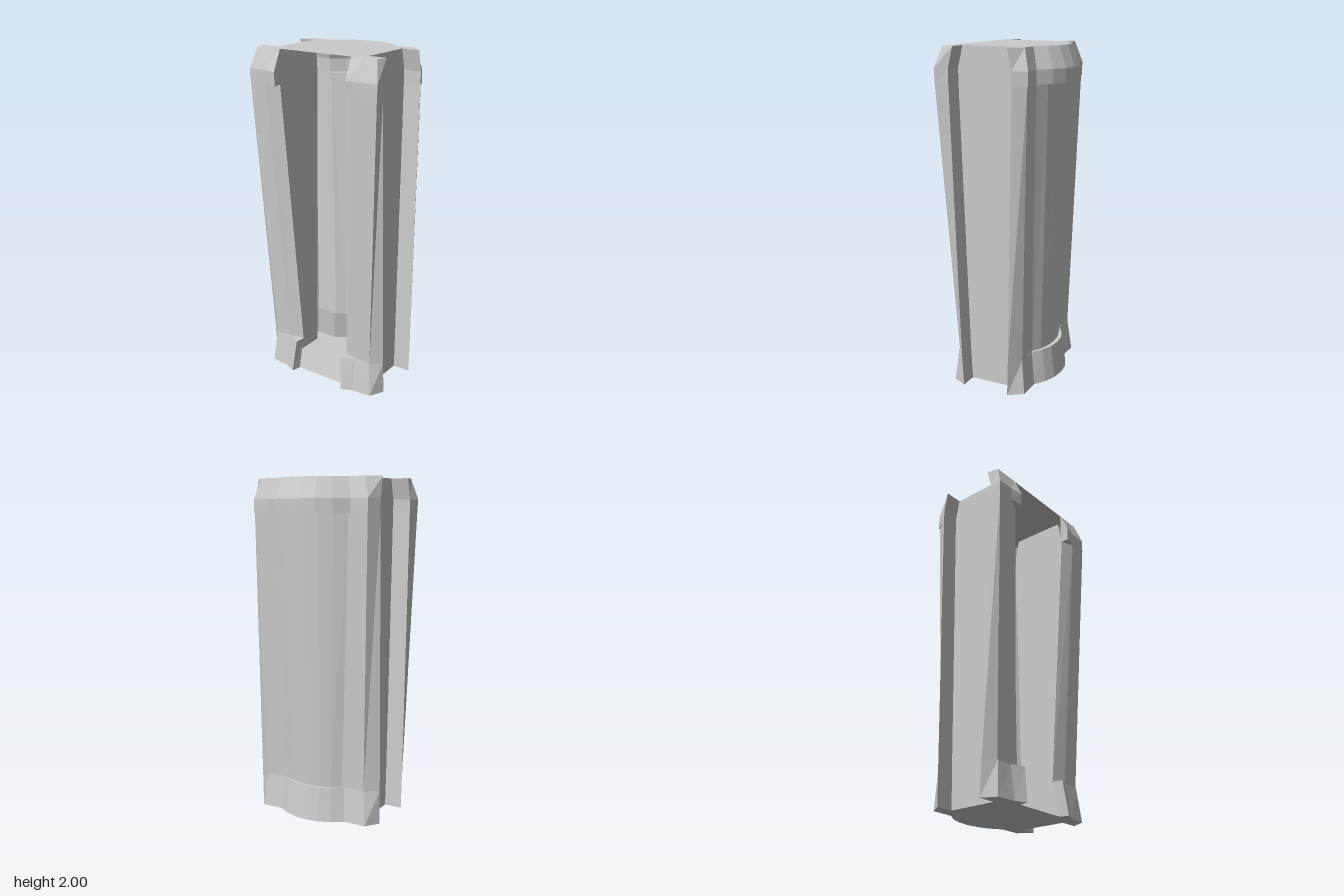
import * as THREE from 'three';

const material = new THREE.MeshStandardMaterial({ color: 0xcccccc, flatShading: true, side: THREE.DoubleSide });

// Half outline [x, z] from the front lip round the side to the centre of the back,
// mirrored into a full outline that stays open at the front.
function outline({ y, front, side, corner, arc }) {
  const [sideFront, sideBack] = side;
  const [w, z0, z1] = arc;
  const half = [
    ...front,
    [0.413, sideFront], [0.305, sideFront],   // front rib to recessed side
    [0.305, sideBack], [0.413, sideBack],     // recessed side to back rib
    corner, [w, z0],
    [w * 0.7, z0 + (z1 - z0) * 0.545],        // rounded back
    [w * 0.37, z0 + (z1 - z0) * 0.89],
    [0, z1],
  ];
  const mirrored = half.slice(0, -1).reverse().map(([x, z]) => [-x, z]);
  return [...half, ...mirrored].map(([x, z]) => new THREE.Vector3(x, y, z));
}

// Skin between successive outlines, top to bottom
function loft(name, levels) {
  const rings = levels.map(outline);
  const points = [];
  for (let r = 0; r < rings.length - 1; r++) {
    const a = rings[r], b = rings[r + 1];
    for (let i = 0; i < a.length - 1; i++) {
      points.push(a[i], a[i + 1], b[i], a[i + 1], b[i + 1], b[i]);
    }
  }
  const geometry = new THREE.BufferGeometry().setFromPoints(points);
  geometry.computeVertexNormals();
  const mesh = new THREE.Mesh(geometry, material);
  mesh.name = name;
  return mesh;
}

// Flat plate filling one outline
function cap(name, level, up) {
  const shape = new THREE.Shape(outline(level).map((p) => new THREE.Vector2(p.x, up ? -p.z : p.z)));
  const geometry = new THREE.ShapeGeometry(shape);
  geometry.rotateX(up ? -Math.PI / 2 : Math.PI / 2);
  geometry.translate(0, level.y, 0);
  const mesh = new THREE.Mesh(geometry, material);
  mesh.name = name;
  return mesh;
}

export function createModel() {
  // front: lip, inner edge, bend, outer edge; arc: half width, start z, peak z
  const top = {
    y: 2, front: [[0.238, 0.28], [0.24, 0.282], [0.32, 0.28], [0.4, 0.28]],
    side: [0.21, -0.12], corner: [0.34, -0.19], arc: [0.235, -0.19, -0.287],
  };
  const collar = {
    y: 1.88, front: [[0.245, 0.28], [0.24, 0.335], [0.32, 0.32], [0.43, 0.32]],
    side: [0.24, -0.145], corner: [0.375, -0.225], arc: [0.27, -0.225, -0.335],
  };
  const collarEnd = { ...collar, y: 1.8, front: [[0.245, 0.28], [0.24, 0.332], [0.32, 0.319], [0.426, 0.319]] };
  const shaftTop = {
    ...collarEnd, front: [[0.241, 0.28], [0.24, 0.285], [0.32, 0.315], [0.426, 0.319]],
    corner: [0.372, -0.22], arc: [0.25, -0.215, -0.28],
  };
  const shaftEnd = {
    y: 0.2, front: [[0.166, 0.21], [0.165, 0.215], [0.25, 0.238], [0.35, 0.242]],
    side: [0.19, -0.117], corner: [0.335, -0.172], arc: [0.19, -0.168, -0.225],
  };
  const footTop = {
    ...shaftEnd, front: [[0.16, 0.225], [0.168, 0.28], [0.25, 0.25], [0.35, 0.245]],
    arc: [0.205, -0.172, -0.25],
  };
  const base = {
    y: 0, front: [[0.172, 0.25], [0.185, 0.305], [0.255, 0.275], [0.37, 0.265]],
    side: [0.18, -0.112], corner: [0.355, -0.195], arc: [0.22, -0.195, -0.275],
  };

  const group = new THREE.Group();
  group.name = 'hollowColumn';
  group.add(
    loft('collar', [top, collar, collarEnd, shaftTop]),
    loft('shaft', [shaftTop, shaftEnd]),
    loft('foot', [shaftEnd, footTop, base]),
    cap('topPlate', top, true),
    cap('basePlate', base, false),
  );
  return group;
}
